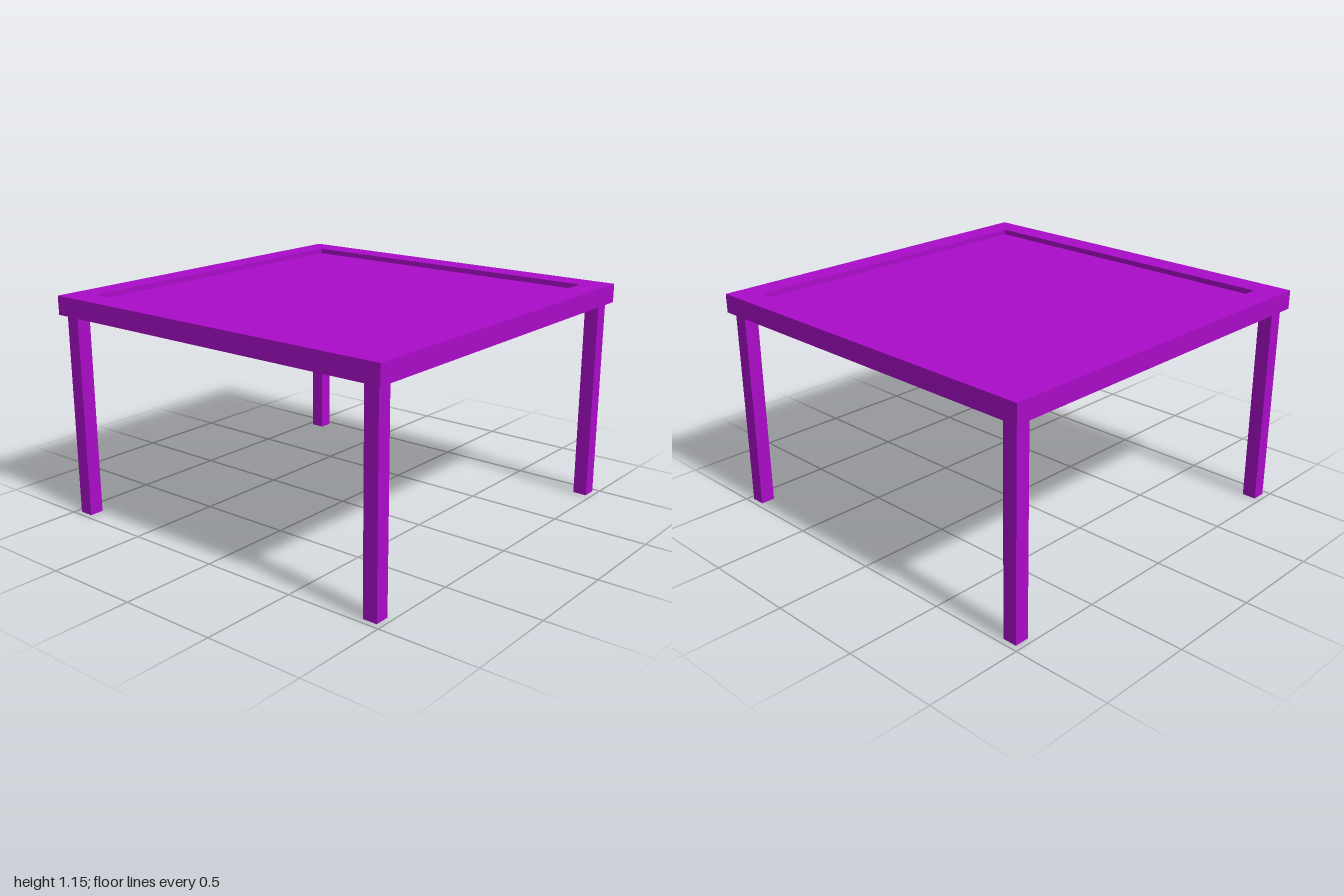
import * as THREE from 'three';

const TOP = 1.152, UNDERSIDE = 1.055, RECESS = 1.125;

export function createModel() {
  const table = new THREE.Group();
  table.name = 'table';
  const material = new THREE.MeshStandardMaterial({ color: 0xaa0cc9, flatShading: true });

  // Square tray-like top: a four-sided lathe whose profile steps down inside the rim
  const profile = [
    [0, UNDERSIDE], [1, UNDERSIDE], [1, TOP],
    [0.87, TOP], [0.87, RECESS], [0, RECESS],
  ].map(([half, y]) => new THREE.Vector2(half * Math.SQRT2, y));
  const topGeometry = new THREE.LatheGeometry(profile, 4, Math.PI / 4).toNonIndexed();
  topGeometry.computeVertexNormals();
  const tableTop = new THREE.Mesh(topGeometry, material);
  tableTop.name = 'tableTop';
  table.add(tableTop);

  // Four square legs set just inside the corners
  const legGeometry = new THREE.BoxGeometry(0.075, UNDERSIDE, 0.075);
  for (const [z, end] of [[1, 'front'], [-1, 'back']]) {
    for (const [x, side] of [[1, 'Left'], [-1, 'Right']]) {
      const leg = new THREE.Mesh(legGeometry, material);
      leg.name = `${end}${side}Leg`;
      leg.position.set(x * 0.933, UNDERSIDE / 2, z * 0.933);
      table.add(leg);
    }
  }
  return table;
}
